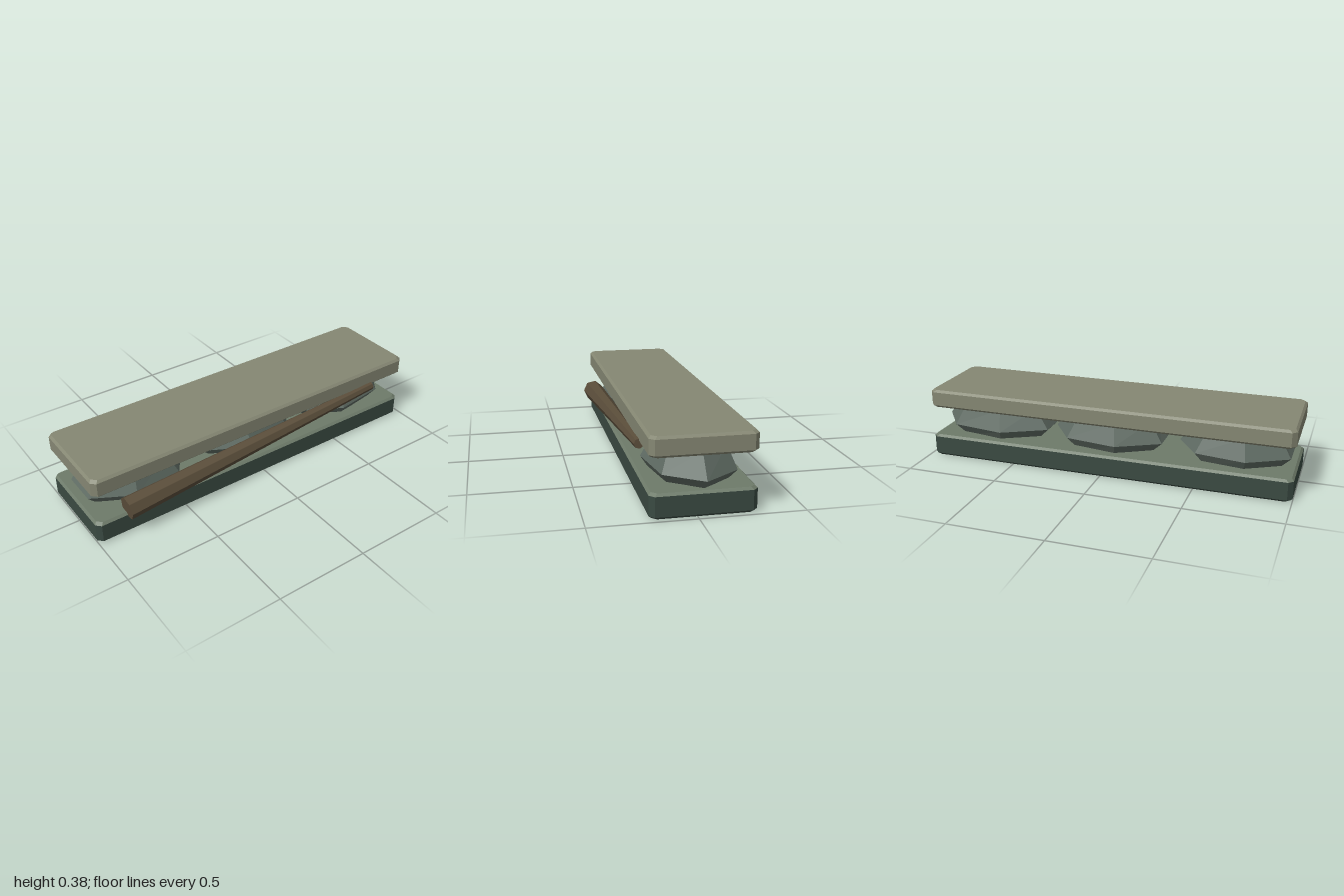
import * as THREE from 'three';

const mat = (color) => new THREE.MeshStandardMaterial({ color, flatShading: true });

// Flat-shaded solid through stacked rings of [x, y, z] points, closed at both ends.
// Rings run from bottom to top, each turning from +z towards +x.
function loft(rings) {
  const pos = [];
  const tri = (a, b, c) => pos.push(...a, ...b, ...c);
  const n = rings[0].length;
  for (let r = 0; r < rings.length - 1; r++) {
    for (let i = 0; i < n; i++) {
      const j = (i + 1) % n, lo = rings[r], hi = rings[r + 1];
      tri(lo[i], lo[j], hi[j]);
      tri(lo[i], hi[j], hi[i]);
    }
  }
  const first = rings[0], last = rings[rings.length - 1];
  for (let i = 1; i < n - 1; i++) {
    tri(first[0], first[i + 1], first[i]);
    tri(last[0], last[i], last[i + 1]);
  }
  const g = new THREE.BufferGeometry();
  g.setAttribute('position', new THREE.Float32BufferAttribute(pos, 3));
  g.computeVertexNormals();
  return g;
}

// Rectangle with cut corners at height y, drawn in by inset
function slabRing(y, inset = 0) {
  const cx = -0.01, cz = -0.03, w = 0.99 - inset, d = 0.248 - inset, c = 0.024;
  return [
    [w - c, d], [w, d - c], [w, c - d], [w - c, -d],
    [c - w, -d], [-w, c - d], [-w, d - c], [c - w, d],
  ].map(([x, z]) => [cx + x, y, cz + z]);
}

// Seven-sided stone: narrow foot, wide belt, flat narrower top
function stone(x, z, rx, rz, seed) {
  const profile = [[0.1, 0.78], [0.167, 1], [0.277, 0.76]];
  return loft(profile.map(([y, s], level) => Array.from({ length: 7 }, (_, i) => {
    const a = Math.PI / 2 + (i * 2 * Math.PI) / 7;
    const k = s * (1 + 0.02 * Math.sin(seed * 5 + i * 2.3 + level * 1.7) * (level === 1 ? 0 : 1));
    return [x + Math.sin(a) * rx * k, y, z + Math.cos(a) * rz * k];
  })));
}

export function createModel() {
  const group = new THREE.Group();
  const add = (name, geometry, material) => {
    const mesh = new THREE.Mesh(geometry, material);
    mesh.name = name;
    group.add(mesh);
    return mesh;
  };

  // Dark base slab with a paler top skin
  const bevel = 0.012;
  add('baseSlab', loft([slabRing(0, bevel), slabRing(bevel), slabRing(0.108)]), mat(0x3a4a42));
  add('baseSlabTop', loft([slabRing(0.108), slabRing(0.12, bevel)]), mat(0x6d7a69));

  // Upper slab
  add('upperSlab', loft([
    slabRing(0.28, bevel), slabRing(0.292), slabRing(0.366), slabRing(0.378, bevel),
  ]), mat(0x858773));

  // Row of stones between the slabs
  const stoneMat = mat(0x5f6b63);
  [[-0.685, -0.03, 0.312, 0.215], [0, -0.035, 0.33, 0.22], [0.656, -0.035, 0.339, 0.225]]
    .forEach(([x, z, rx, rz], i) => add(`stone${i + 1}`, stone(x, z, rx, rz, i + 1), stoneMat));

  // Tapered stick leaning along the front
  const start = new THREE.Vector3(-0.838, 0.154, 0.221);
  const end = new THREE.Vector3(0.742, 0.278, 0.219);
  const dir = end.clone().sub(start);
  const stick = add('stick', new THREE.CylinderGeometry(0.024, 0.06, dir.length(), 7), mat(0x5a4d3a));
  stick.position.copy(start).add(end).multiplyScalar(0.5);
  stick.quaternion.setFromUnitVectors(new THREE.Vector3(0, 1, 0), dir.normalize());

  return group;
}
